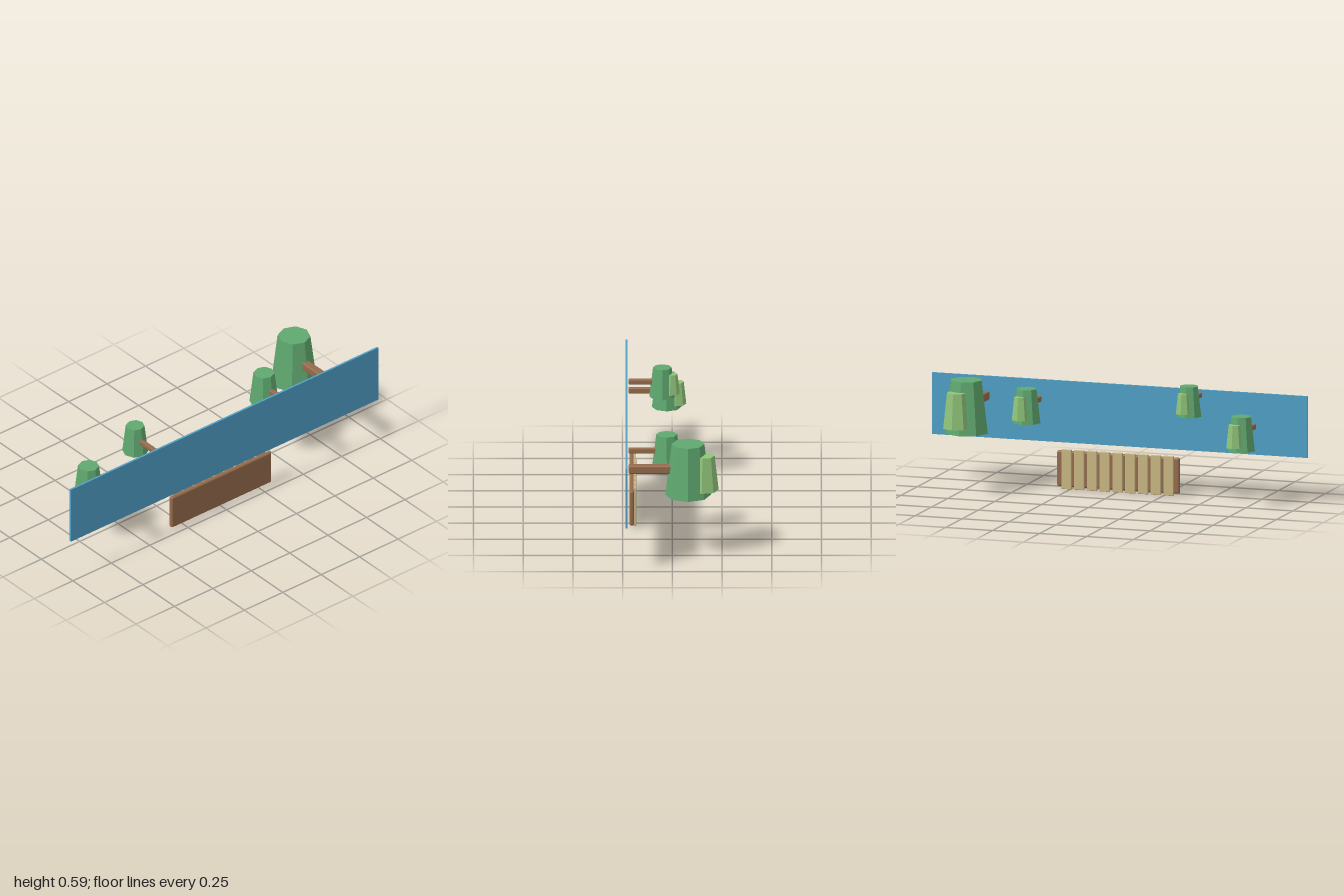
import * as THREE from 'three';
import { RoundedBoxGeometry } from 'three/addons/geometries/RoundedBoxGeometry.js';

const mat = (name, color, flatShading = false) => {
  const m = new THREE.MeshStandardMaterial({ color, flatShading });
  m.name = name;
  return m;
};

export function createModel() {
  const water = mat('water blue', 0x4fa0c6);
  const wood = mat('brown wood', 0x956b4c);
  const plankWood = mat('pale plank wood', 0xc9b682);
  const leaf = mat('leaf green', 0x5fa86f, true);
  const lightLeaf = mat('light leaf green', 0x90c47a, true);

  const model = new THREE.Group();
  model.name = 'lakeDiorama';

  const add = (parent, name, geometry, material, x, y, z) => {
    const mesh = new THREE.Mesh(geometry, material);
    mesh.name = name;
    mesh.position.set(x, y, z);
    parent.add(mesh);
    return mesh;
  };

  // Water panel
  add(model, 'waterPanel', new THREE.BoxGeometry(2, 0.315, 0.011), water, 0, 0.388, 0.23);

  // Dock: a rounded board with nine planks on its back
  const dock = new THREE.Group();
  dock.name = 'dock';
  model.add(dock);
  add(dock, 'dockBase', new RoundedBoxGeometry(0.652, 0.184, 0.024, 3, 0.01), wood, -0.002, 0.102, 0.204);
  for (let i = 0; i < 9; i++) {
    add(dock, 'plank', new RoundedBoxGeometry(0.053, 0.203, 0.014, 2, 0.003), plankWood,
      -0.002 + (i - 4) * 0.068, 0.1015, 0.188);
  }

  // Trees: trunk reaching back from the panel, tapered crown and a lighter side crown
  const addTree = (x, y, z, s) => {
    const tree = new THREE.Group();
    tree.name = 'tree';
    tree.position.set(x, y, z);
    model.add(tree);
    const length = 0.22 - z - 0.03 * s;
    add(tree, 'trunk', new RoundedBoxGeometry(0.042 * s, 0.043 * s, length, 3, 0.008 * s), wood,
      0, 0.002 * s, 0.03 * s + length / 2);
    add(tree, 'crown', new THREE.CylinderGeometry(0.082 * s, 0.115 * s, 0.27 * s, 8), leaf, 0, 0, 0);
    const side = add(tree, 'sideCrown', new THREE.CylinderGeometry(0.05 * s, 0.07 * s, 0.181 * s, 7),
      lightLeaf, 0.024 * s, -0.0095 * s, -0.084 * s);
    side.rotation.y = Math.PI;
  };
  addTree(0.711, 0.445, -0.079, 1);
  addTree(0.427, 0.446, 0.028, 0.643);
  addTree(-0.43, 0.518, 0.05, 0.57);
  addTree(-0.715, 0.374, 0.028, 0.643);

  return model;
}
